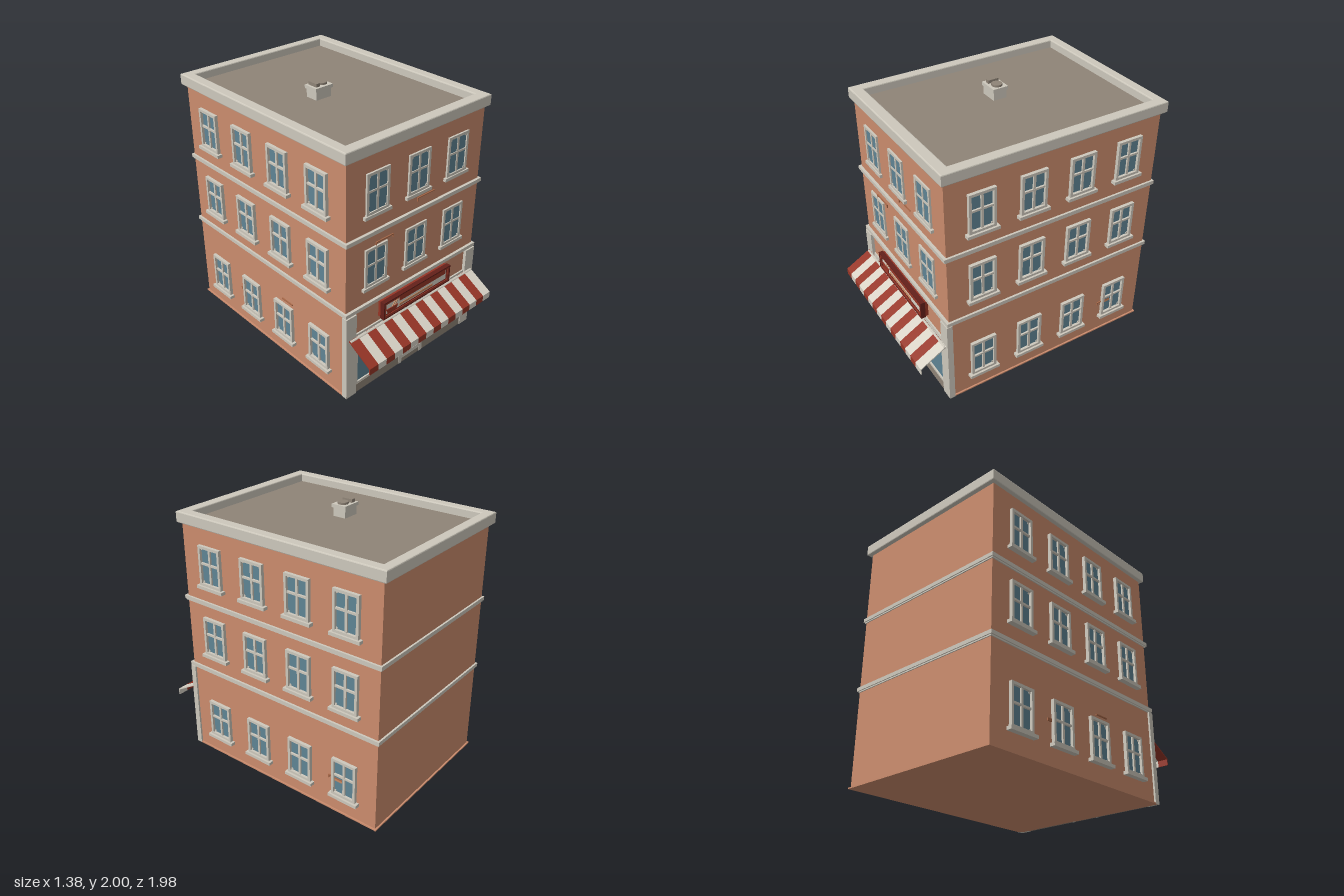
import * as THREE from 'three';

const mat = (name, color) => new THREE.MeshStandardMaterial({ name, color });

export function createModel() {
  const brick = mat('brick', 0xcb8c6d);
  const trim = mat('stone trim', 0xcdc8bc);
  const glass = mat('window glass', 0x5f8494);
  const red = mat('red paint', 0x963526);
  const darkRed = mat('dark red frame', 0x64201a);
  const roofGrey = mat('roof felt', 0x8f8477);
  const cream = mat('awning cream', 0xd8d2c6);
  const tan = mat('tan detail', 0xc98a62);
  const crack = mat('brick edge', 0xa86848);

  const model = new THREE.Group();
  model.name = 'cornerShopBuilding';

  const add = (parent, name, geo, material, x = 0, y = 0, z = 0) => {
    const m = new THREE.Mesh(geo, material);
    m.name = name;
    m.position.set(x, y, z);
    parent.add(m);
    return m;
  };
  // Box given by its minimum and maximum on each axis
  const block = (parent, name, material, x0, x1, y0, y1, z0, z1) =>
    add(parent, name, new THREE.BoxGeometry(x1 - x0, y1 - y0, z1 - z0), material,
      (x0 + x1) / 2, (y0 + y1) / 2, (z0 + z1) / 2);
  const rect = (P, x0, x1, y0, y1) => new P([
    new THREE.Vector2(x0, y0), new THREE.Vector2(x1, y0),
    new THREE.Vector2(x1, y1), new THREE.Vector2(x0, y1)]);
  // Rectangular frame with an opening, facing +z
  const frame = (parent, name, material, x0, x1, y0, y1, bar, z, depth) => {
    const s = rect(THREE.Shape, x0, x1, y0, y1);
    s.holes.push(rect(THREE.Path, x0 + bar, x1 - bar, y0 + bar, y1 - bar));
    const geo = new THREE.ExtrudeGeometry(s, { depth, bevelEnabled: false });
    return add(parent, name, geo, material, 0, 0, z);
  };

  // Walls, base lip and belt courses
  const F = 0.76, B = -0.953, W = 0.65;
  block(model, 'brickWalls', brick, -W, W, 0, 1.88, B, F);
  block(model, 'baseLip', brick, -0.662, 0.662, 0, 0.01, -0.965, 0.768);
  for (const y of [0.703, 1.262]) {
    block(model, 'beltCourse', trim, -0.658, 0.658, y, y + 0.03, -0.96, 0.772);
    block(model, 'beltCourseCap', trim, -0.666, 0.666, y + 0.01, y + 0.038, -0.967, 0.781);
  }

  // Parapet cornice around a sunken flat roof
  const ring = rect(THREE.Shape, -0.672, 0.672, -0.777, 0.977);
  ring.holes.push(rect(THREE.Path, -0.608, 0.608, -0.708, 0.918));
  const cornice = add(model, 'parapetCornice', new THREE.ExtrudeGeometry(ring, {
    depth: 0.069, bevelThickness: 0.008, bevelSize: 0.008, bevelSegments: 2 }), trim, 0, 1.868, 0);
  cornice.rotation.x = -Math.PI / 2;
  block(model, 'flatRoof', roofGrey, -0.61, 0.61, 1.87, 1.885, -0.92, 0.71);

  // Roof vent
  const vent = new THREE.Group();
  vent.name = 'roofVent';
  model.add(vent);
  block(vent, 'ventBody', trim, -0.19, -0.055, 1.88, 1.955, -0.142, -0.038);
  block(vent, 'ventLid', trim, -0.2, -0.045, 1.95, 1.975, -0.15, -0.03);
  block(vent, 'ventSlot', roofGrey, -0.18, -0.145, 1.975, 2.0, -0.132, -0.05);
  add(vent, 'ventCap', new THREE.CylinderGeometry(0.04, 0.04, 0.015, 10), roofGrey, -0.098, 1.983, -0.09);

  // Sash window, origin at the bottom centre of its frame, on the wall plane
  const sashWindow = (x, y, z, turn, depth) => {
    const g = new THREE.Group();
    g.name = 'sashWindow';
    g.position.set(x, y, z);
    g.rotation.y = turn;
    block(g, 'pane', glass, -0.09, 0.09, 0.01, 0.29, 0, 0.005);
    frame(g, 'windowFrame', trim, -0.102, 0.102, 0, 0.302, 0.02, 0, depth);
    block(g, 'verticalBar', trim, -0.009, 0.009, 0.015, 0.29, 0, depth * 0.7);
    block(g, 'crossBar', trim, -0.09, 0.09, 0.16, 0.175, 0, depth * 0.75);
    block(g, 'sill', trim, -0.122, 0.122, -0.022, 0.002, 0, depth * 1.6);
    for (const sx of [-1, 1]) for (const py of [0.026, 0.276]) {
      const stud = add(g, 'cornerStud', new THREE.CylinderGeometry(0.009, 0.009, 0.008, 8),
        trim, sx * 0.077, py, 0.006);
      stud.rotation.x = Math.PI / 2;
    }
    model.add(g);
  };
  for (const y of [0.87, 1.43]) {
    for (const x of [-0.383, 0, 0.383]) sashWindow(x, y, F, 0, 0.014);
  }
  for (const y of [0.155, 0.87, 1.43]) {
    for (const z of [0.495, 0.1, -0.295, -0.69]) {
      for (const s of [-1, 1]) sashWindow(s * W, y, z, s * Math.PI / 2, 0.025);
    }
  }

  // Thin chipped brick edges on the walls
  block(model, 'chippedBrick', crack, 0, 0.17, 1.375, 1.382, F, 0.768);
  block(model, 'chippedBrick', crack, 0, 0.007, 1.352, 1.375, F, 0.768);
  block(model, 'chippedBrick', crack, -0.385, -0.22, 1.188, 1.196, F, 0.768);
  for (const x of [-0.385, -0.227]) block(model, 'chippedBrick', crack, x, x + 0.007, 1.17, 1.188, F, 0.768);
  block(model, 'chippedBrick', crack, W, 0.659, 0.282, 0.29, -0.67, -0.55);
  block(model, 'chippedBrick', crack, W, 0.659, 0.265, 0.282, -0.557, -0.55);
  block(model, 'chippedBrick', tan, W, 0.659, 0.265, 0.282, -0.67, -0.6);
  block(model, 'chippedBrick', crack, -0.659, -W, 0.49, 0.498, 0.08, 0.2);
  block(model, 'chippedBrick', crack, -0.659, -W, 0.3, 0.32, -0.44, -0.4);

  // Shopfront: pilasters, plinths and display windows on both sides
  for (const s of [-1, 1]) {
    const span = (name, m, a, b, y0, y1, z0, z1) =>
      block(model, name, m, Math.min(s * a, s * b), Math.max(s * a, s * b), y0, y1, z0, z1);
    span('pilaster', trim, 0.57, 0.664, 0, 0.705, 0.74, 0.785);
    span('plinth', roofGrey, 0.125, 0.57, 0, 0.07, F, 0.778);
    span('displayGlass', glass, 0.16, 0.55, 0.085, 0.49, F, 0.765);
    frame(model, 'displayFrame', trim, s > 0 ? 0.147 : -0.565, s > 0 ? 0.565 : -0.147,
      0.07, 0.505, 0.018, F, 0.016);
    span('doorJamb', trim, 0.098, 0.125, 0, 0.5, F, 0.782);
  }
  block(model, 'doorHeader', trim, -0.15, 0.15, 0.5, 0.52, F, 0.79);
  block(model, 'fasciaRail', trim, -0.57, 0.57, 0.505, 0.522, F, 0.772);

  // Door with raised border, knob and threshold
  block(model, 'door', red, -0.1, 0.1, 0.07, 0.5, F, 0.768);
  frame(model, 'doorBorder', red, -0.098, 0.098, 0.07, 0.5, 0.025, F, 0.013);
  add(model, 'doorKnob', new THREE.SphereGeometry(0.01, 10, 8), trim, 0.068, 0.2, 0.778);
  block(model, 'threshold', trim, -0.1, 0.1, 0.038, 0.07, F, 0.78);
  block(model, 'doorStep', roofGrey, -0.1, 0.1, 0, 0.038, F, 0.778);

  // Striped awning: one folded strip per stripe
  const awning = new THREE.Group();
  awning.name = 'awning';
  model.add(awning);
  const profile = new THREE.Shape([[0.785, 0.517], [0.99, 0.402], [0.99, 0.35], [0.983, 0.35],
    [0.983, 0.396], [0.785, 0.507]].map(([z, y]) => new THREE.Vector2(-z, y)));
  const strip = new THREE.ExtrudeGeometry(profile, { depth: 0.08, bevelEnabled: false });
  strip.rotateY(Math.PI / 2);
  for (let i = 0; i < 16; i++) {
    add(awning, 'awningStripe', strip, i % 2 ? cream : red, -0.64 + i * 0.08);
  }
  const roller = add(awning, 'awningRoller', new THREE.CylinderGeometry(0.012, 0.012, 1.27, 10), trim, 0, 0.505, 0.79);
  roller.rotation.z = Math.PI / 2;

  // Shop sign with plain painted bars and a bowl
  const sign = new THREE.Group();
  sign.name = 'shopSign';
  model.add(sign);
  block(sign, 'signBack', red, -0.34, 0.34, 0.563, 0.695, F, 0.804);
  block(sign, 'signPanel', cream, -0.318, 0.318, 0.585, 0.675, 0.8, 0.808);
  frame(sign, 'signOuterFrame', darkRed, -0.345, 0.345, 0.558, 0.7, 0.01, 0.785, 0.036);
  frame(sign, 'signInnerFrame', red, -0.335, 0.335, 0.568, 0.69, 0.014, 0.79, 0.028);
  frame(sign, 'signInnerLip', darkRed, -0.321, 0.321, 0.582, 0.676, 0.005, 0.79, 0.022);
  block(sign, 'signRedBar', red, -0.18, 0.305, 0.638, 0.67, 0.806, 0.812);
  block(sign, 'signTanBar', tan, -0.18, 0.165, 0.597, 0.616, 0.806, 0.812);
  const bowl = new THREE.Shape([[-0.312, 0.625], [-0.295, 0.587], [-0.215, 0.587], [-0.198, 0.625]]
    .map(([x, y]) => new THREE.Vector2(x, y)));
  add(sign, 'signBowl', new THREE.ExtrudeGeometry(bowl, { depth: 0.006, bevelEnabled: false }), red, 0, 0, 0.808);
  for (const x of [-0.235, -0.212]) {
    const stick = add(sign, 'signStick', new THREE.BoxGeometry(0.007, 0.055, 0.006), tan, x, 0.648, 0.81);
    stick.rotation.z = -0.6;
  }

  return model;
}
